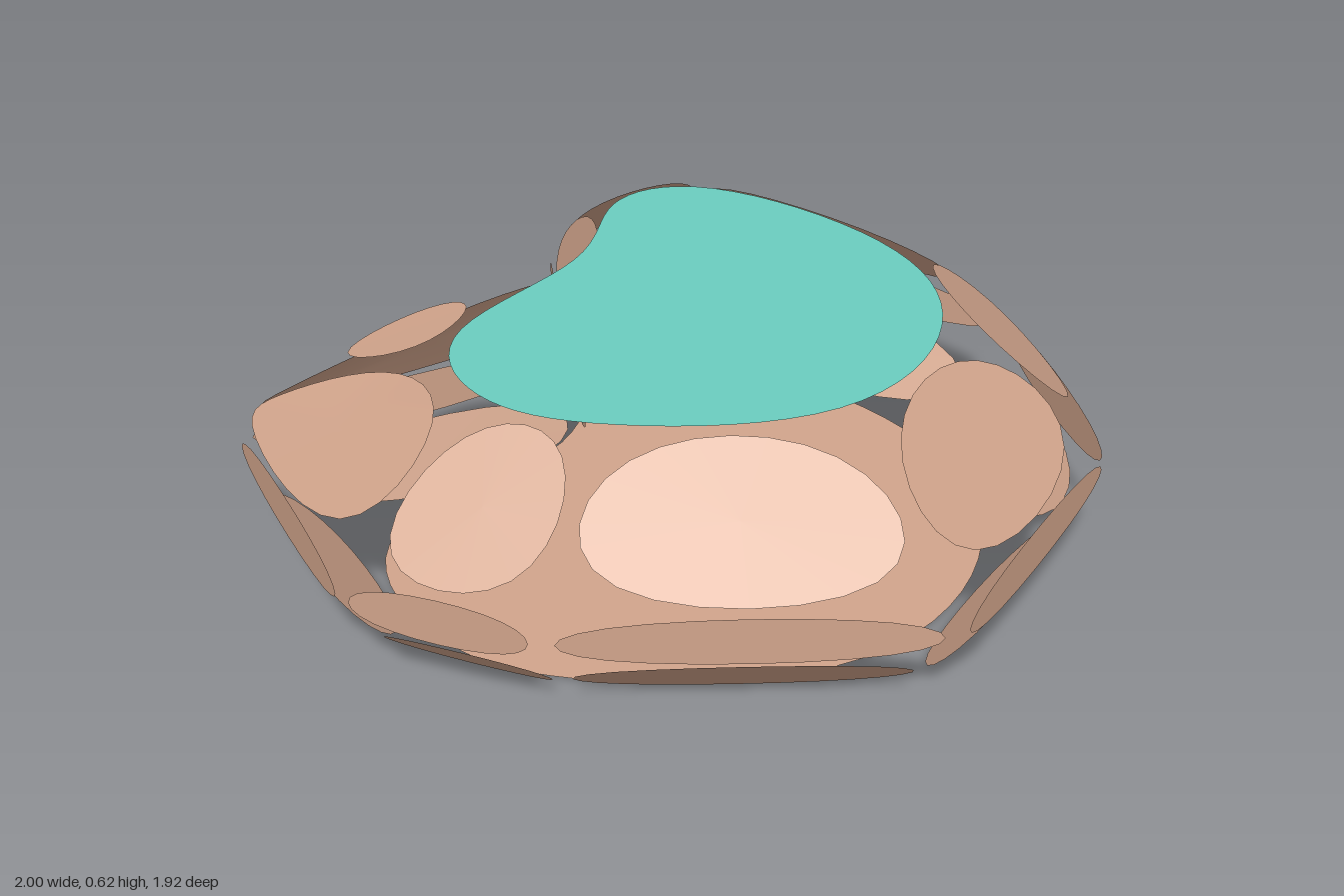
import * as THREE from 'three';

const stoneMaterial = new THREE.MeshStandardMaterial({ color: 0xd2a58c, side: THREE.DoubleSide });
const waterMaterial = new THREE.MeshStandardMaterial({ color: 0x6bcec0, side: THREE.DoubleSide });

// Plan of the outer rim (x, z), running front -> right side -> back -> notch -> front
const RIM = [
  [-0.015, 0.965], [0.84, 0.63], [1.01, -0.14], [0.63, -0.70], [-0.33, -0.97],
  [-0.65, -0.61], [-0.42, -0.16], [-1.02, 0.48], [-0.485, 0.965],
];
const CORNER = 7; // the pointed front corner

const ring = (scale, y) => RIM.map(([x, z]) => new THREE.Vector3(x * scale, y, z * scale));

// Round a corner polygon into a closed uniform cubic B-spline loop
function roundLoop(corners, steps = 6) {
  const n = corners.length, out = [];
  for (let i = 0; i < n; i++) {
    for (let s = 0; s < steps; s++) {
      const t = s / steps;
      const w = [(1 - t) ** 3, 3 * t ** 3 - 6 * t * t + 4, -3 * t ** 3 + 3 * t * t + 3 * t + 1, t ** 3];
      const p = new THREE.Vector3();
      w.forEach((k, j) => p.addScaledVector(corners[(i + j + n - 1) % n], k / 6));
      out.push(p);
    }
  }
  return out;
}

function meshFrom(points, index, material, name) {
  const geometry = new THREE.BufferGeometry().setFromPoints(points);
  geometry.setIndex(index);
  geometry.computeVertexNormals();
  const mesh = new THREE.Mesh(geometry, material);
  mesh.name = name;
  return mesh;
}

// Thin rounded plate filled as a fan around its middle
function plate(corners, name) {
  const loop = roundLoop(corners), n = loop.length, index = [];
  const middle = new THREE.Vector3();
  loop.forEach((p) => middle.addScaledVector(p, 1 / n));
  for (let i = 0; i < n; i++) index.push(i, (i + 1) % n, n);
  return meshFrom([...loop, middle], index, stoneMaterial, name);
}

// Level sheet with a concave outline
function sheet(corners, material, name, facesUp) {
  const loop = roundLoop(corners, 8);
  const flat = loop.map((p) => new THREE.Vector2(p.x, -p.z));
  const faces = THREE.ShapeUtils.triangulateShape(flat, []);
  const index = faces.flatMap(([a, b, c]) => (facesUp ? [a, b, c] : [a, c, b]));
  return meshFrom(loop, index, material, name);
}

export function createModel() {
  const model = new THREE.Group();
  model.name = 'stonePool';

  const base = ring(0.8, 0), low = ring(1, 0.202), high = ring(1, 0.336), top = ring(0.65, 0.615);
  top[CORNER].set(-0.55, 0.615, 0.36);

  // Extra corners where the upper plates meet the pointed corner
  const tip = new THREE.Vector3(-0.93, 0.41, 0.47);
  const frontInner = new THREE.Vector3(-0.6, 0.56, 0.42);
  const leftInner = new THREE.Vector3(-0.54, 0.59, 0.21);

  // Floor and water surface
  model.add(sheet(base, stoneMaterial, 'floor', false));
  model.add(sheet(top, waterMaterial, 'waterSurface', true));

  // Three tiers of separate side plates
  const tiers = [['lowerPlates', base, low], ['middlePlates', low, high], ['upperPlates', high, top]];
  for (const [name, bottom, upper] of tiers) {
    const tier = new THREE.Group();
    tier.name = name;
    RIM.forEach((_, i) => {
      const j = (i + 1) % RIM.length;
      let corners = [bottom[i], bottom[j], upper[j], upper[i]];
      if (upper === top && j === CORNER) corners = [high[i], high[j], tip, leftInner, top[i]];
      if (upper === top && i === CORNER) corners = [high[i], high[j], top[j], frontInner, tip];
      tier.add(plate(corners, 'sidePlate' + (i + 1)));
    });
    model.add(tier);
  }

  // Small plate filling the pointed corner beside the water
  model.add(plate([
    new THREE.Vector3(-0.8, 0.53, 0.47), new THREE.Vector3(-0.5, 0.61, 0.46),
    new THREE.Vector3(-0.46, 0.63, 0.19), new THREE.Vector3(-0.62, 0.59, 0.21),
  ], 'cornerPlate'));

  return model;
}
